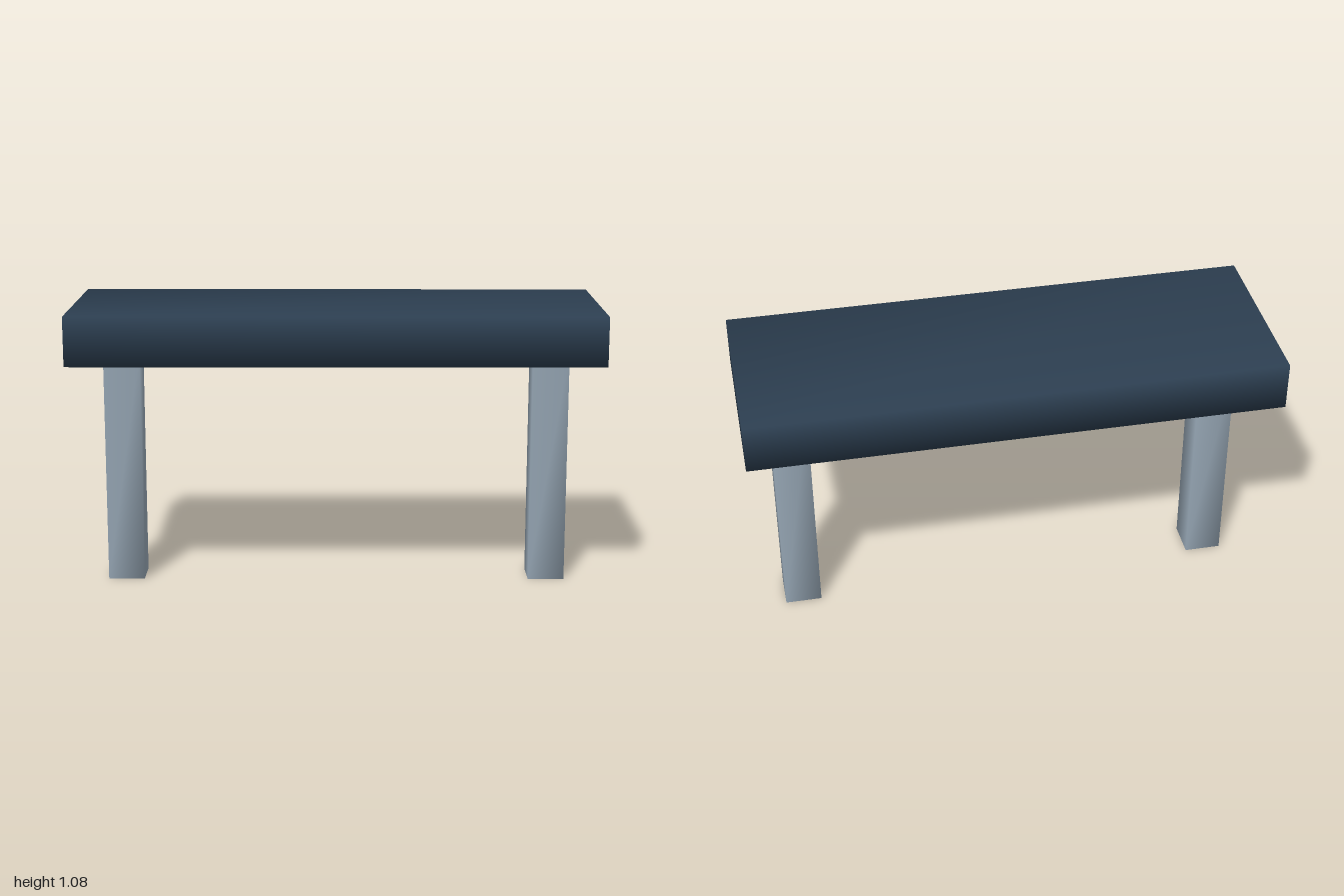
import * as THREE from 'three';
import { mergeVertices } from 'three/addons/utils/BufferGeometryUtils.js';

// Box whose corners share one averaged normal, for soft shading across the edges
function softBox(width, height, depth) {
  const box = new THREE.BoxGeometry(width, height, depth);
  box.deleteAttribute('normal');
  box.deleteAttribute('uv');
  const geometry = mergeVertices(box);
  geometry.computeVertexNormals();
  return geometry;
}

export function createModel() {
  const model = new THREE.Group();
  model.name = 'bench';

  const seatMaterial = new THREE.MeshStandardMaterial({ color: 0x2c3e50 });
  const legMaterial = new THREE.MeshStandardMaterial({ color: 0x95a5b3 });

  const legHeight = 0.897;
  const seatHeight = 0.187;

  // Seat slab
  const seat = new THREE.Mesh(softBox(2, seatHeight, 0.704), seatMaterial);
  seat.name = 'seat';
  seat.position.y = legHeight + seatHeight / 2;
  model.add(seat);

  // One square post under each end
  const legGeometry = softBox(0.14, legHeight, 0.14);
  for (const side of [-1, 1]) {
    const leg = new THREE.Mesh(legGeometry, legMaterial);
    leg.name = side > 0 ? 'leftLeg' : 'rightLeg';
    leg.position.set(side * 0.822, legHeight / 2, 0);
    model.add(leg);
  }

  return model;
}
